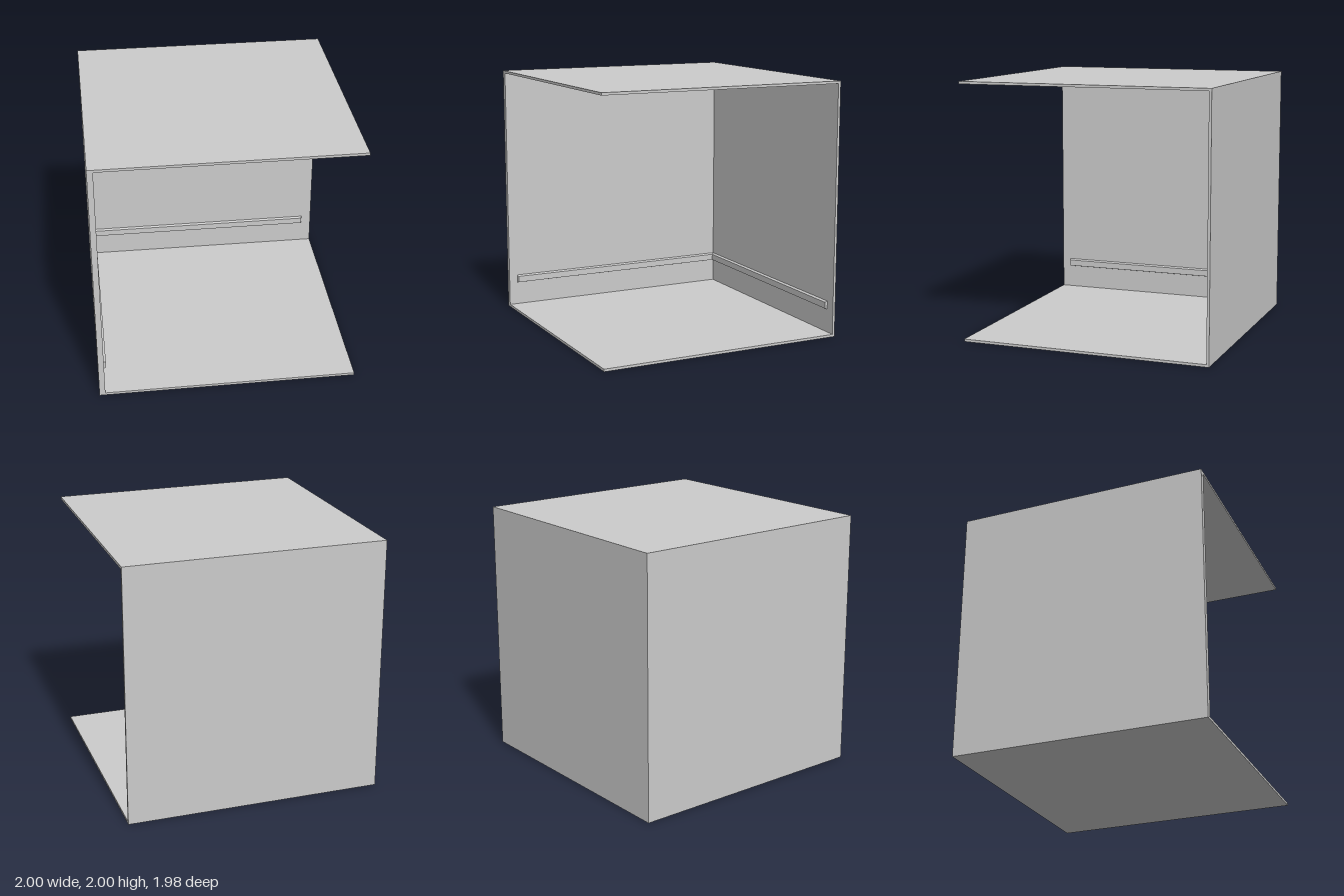
import * as THREE from 'three';

const W = 1, D = 0.988, H = 2; // half width, half depth, height
const SLAB = 0.02, SIDE = 0.045, BACK = 0.02;

export function createModel() {
  const room = new THREE.Group();
  room.name = 'openRoom';
  const mat = new THREE.MeshStandardMaterial({ color: 0xcccccc, flatShading: true });

  const add = (name, geo, x, y, z) => {
    const mesh = new THREE.Mesh(geo, mat);
    mesh.name = name;
    mesh.position.set(x, y, z);
    room.add(mesh);
    return mesh;
  };

  // Floor and ceiling: same footprint, front edge very slightly skewed
  const slab = () => {
    const geo = new THREE.BoxGeometry(2 * W, SLAB, 2 * D);
    const p = geo.attributes.position;
    for (let i = 0; i < p.count; i++) {
      if (p.getX(i) > 0 && p.getZ(i) > 0) p.setZ(i, D - 0.011);
    }
    geo.computeVertexNormals();
    return geo;
  };
  add('floor', slab(), 0, SLAB / 2, 0);
  add('ceiling', slab(), 0, H - SLAB / 2, 0);

  // Two walls standing between the slabs
  const wallH = H - 2 * SLAB;
  add('sideWall', new THREE.BoxGeometry(SIDE, wallH, 2 * D), -W + SIDE / 2, H / 2, 0);
  add('backWall', new THREE.BoxGeometry(2 * W - SIDE, wallH, BACK), SIDE / 2, H / 2, -D + BACK / 2);

  // Wall rail: shallow strip whose face is smaller than its base
  const railDepth = 0.018, railY = 0.2375;
  const rail = (length) => {
    const geo = new THREE.BoxGeometry(length, 0.065, railDepth);
    const p = geo.attributes.position;
    for (let i = 0; i < p.count; i++) {
      if (p.getZ(i) > 0) {
        p.setX(i, p.getX(i) - Math.sign(p.getX(i)) * 0.007);
        p.setY(i, p.getY(i) > 0 ? 0.0225 : -0.0275);
      }
    }
    geo.computeVertexNormals();
    return geo;
  };
  const innerX = -W + SIDE, innerZ = -D + BACK, end = 0.92;
  add('backRail', rail(end - innerX - 0.008), (end + innerX + 0.008) / 2, railY, innerZ + railDepth / 2);
  const sideRail = add('sideRail', rail(end - innerZ - 0.006), innerX + railDepth / 2, railY, (end + innerZ + 0.006) / 2);
  sideRail.rotation.y = Math.PI / 2;

  return room;
}
